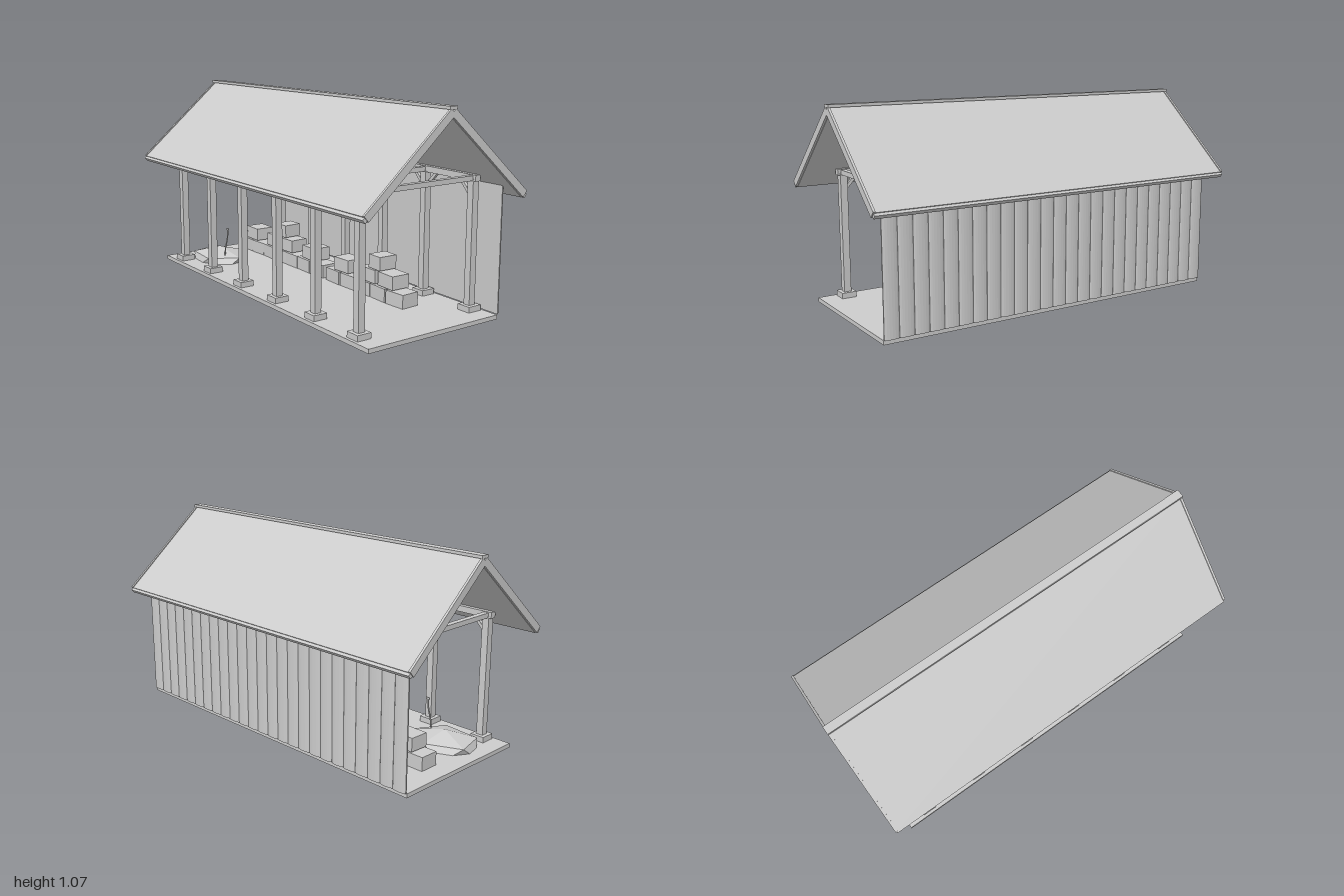
import * as THREE from 'three';

export function createModel() {
  const model = new THREE.Group();
  const grey = new THREE.MeshStandardMaterial({ color: 0xcccccc });
  grey.name = 'plain grey';

  function add(parent, geometry, name, x = 0, y = 0, z = 0) {
    const mesh = new THREE.Mesh(geometry, grey);
    mesh.name = name;
    mesh.position.set(x, y, z);
    parent.add(mesh);
    return mesh;
  }
  const box = (parent, name, w, h, d, x, y, z) =>
    add(parent, new THREE.BoxGeometry(w, h, d), name, x, y, z);
  function group(name, parent = model) {
    const g = new THREE.Group();
    g.name = name;
    parent.add(g);
    return g;
  }

  box(model, 'floor', 1.86, 0.021, 0.765, 0, 0.0645, 0);

  // Two rows of posts with pads, braces and a wall plate
  const frame = group('frame');
  const postX = [-0.8, -0.48, -0.16, 0.16, 0.48, 0.8];
  for (const z of [0.33, -0.33]) {
    box(frame, 'wallPlate', 1.66, 0.03, 0.032, 0, 0.71, z);
    postX.forEach((x, i) => {
      box(frame, 'postPad', 0.075, 0.028, 0.075, x, 0.089, z);
      box(frame, 'post', 0.036, 0.63, 0.036, x, 0.39, z);
      for (const s of [-1, 1]) {
        if ((i === 0 && s < 0) || (i === 5 && s > 0)) continue;
        box(frame, 'brace', 0.016, 0.12, 0.016, x + s * 0.045, 0.662, z).rotation.z = -s * 0.75;
      }
    });
  }
  for (const x of postX) box(frame, 'tieBeam', 0.028, 0.024, 0.66, x, 0.709, 0);

  // Back wall of rounded vertical boards
  const boards = 25, pitch = 1.86 / boards;
  const outline = new THREE.Shape();
  outline.moveTo(-pitch / 2, 0);
  for (let k = 0; k <= 8; k++) {
    const a = Math.PI * (1 - k / 8);
    outline.lineTo(Math.cos(a) * pitch * 0.495, 0.006 + Math.sin(a) * 0.009);
  }
  outline.lineTo(pitch / 2, 0);
  const boardGeometry = new THREE.ExtrudeGeometry(outline, { depth: 0.615, bevelEnabled: false });
  boardGeometry.rotateX(-Math.PI / 2);
  const wall = group('backWall');
  for (let i = 0; i < boards; i++)
    add(wall, boardGeometry, 'wallBoard', -0.93 + (i + 0.5) * pitch, 0.077, -0.384);

  // Gable roof: two mirrored slopes and a ridge cap
  const roof = group('roof');
  for (const turn of [0, Math.PI]) {
    const side = group('roofSide', roof);
    side.rotation.y = turn;
    const slope = group('roofSlope', side);
    slope.position.set(0, 1.046, 0);
    slope.rotation.x = 0.715;
    box(slope, 'roofPanel', 1.98, 0.034, 0.605, 0, -0.004, 0.3025);
    for (const x of [-0.994, 0.994]) box(slope, 'bargeBoard', 0.012, 0.036, 0.605, x, 0, 0.3025);
    box(slope, 'eaveBoard', 1.99, 0.021, 0.014, 0, -0.002, 0.612);
  }
  box(roof, 'ridgeCap', 2, 0.014, 0.042, 0, 1.063, 0);

  // Stacked bales: [x, y, length], each turned a little
  const bales = group('bales');
  const rows = [];
  for (let i = 0; i < 7; i++) rows.push([-0.781 + i * 0.117, 0.111, 0.113]);
  for (let i = 0; i < 5; i++) rows.push([0.071 + i * 0.122, 0.111, 0.117]);
  for (const x of [-0.72, -0.5, -0.37, -0.15, 0.14, 0.36, 0.495]) rows.push([x, 0.186, 0.115]);
  for (const x of [-0.42, 0.412]) rows.push([x, 0.26, 0.09]);
  rows.forEach(([x, y, w], i) => {
    box(bales, 'bale', w, 0.068, 0.1, x, y, -0.12).rotation.y = 0.06 * Math.sin(i * 2.4);
  });

  // Faceted heap reaching through the floor
  const heap = new THREE.IcosahedronGeometry(1, 0);
  heap.rotateZ(-Math.atan(2 / (1 + Math.sqrt(5))));
  heap.rotateY(0.2);
  heap.scale(0.195, 0.072, 0.157);
  heap.computeVertexNormals();
  add(model, heap, 'heap', -0.705, 0.075, 0.16);

  // Bent tool handle standing in the heap
  const handle = new THREE.CatmullRomCurve3([
    new THREE.Vector3(-0.6, 0.112, 0.188),
    new THREE.Vector3(-0.595, 0.165, 0.185),
    new THREE.Vector3(-0.587, 0.22, 0.177),
    new THREE.Vector3(-0.585, 0.27, 0.175),
  ]);
  add(model, new THREE.TubeGeometry(handle, 8, 0.004, 6), 'toolHandle');
  box(model, 'toolGrip', 0.02, 0.01, 0.006, -0.585, 0.269, 0.175);

  return model;
}
